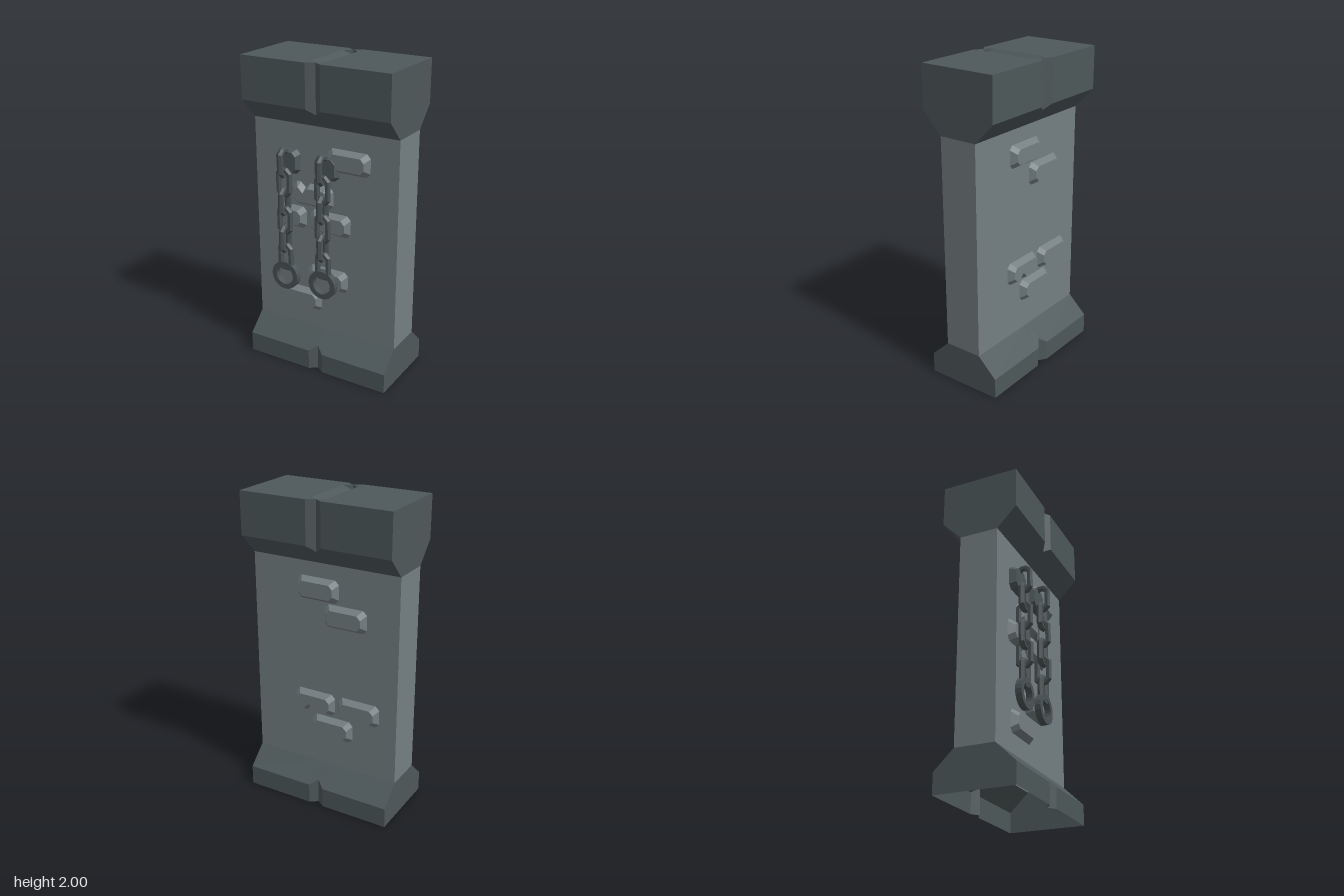
import * as THREE from 'three';

const material = (name, color, side = THREE.FrontSide) => {
  const m = new THREE.MeshStandardMaterial({ color, side, flatShading: true });
  m.name = name;
  return m;
};

// Polygons (convex point lists, counter-clockwise from outside) to a flat geometry
function polygons(list) {
  const pos = [];
  for (const p of list)
    for (let i = 1; i < p.length - 1; i++) pos.push(...p[0], ...p[i], ...p[i + 1]);
  const g = new THREE.BufferGeometry();
  g.setAttribute('position', new THREE.Float32BufferAttribute(pos, 3));
  g.computeVertexNormals();
  return g;
}

// Quads joining two loops of points
const band = (a, b) => a.map((p, i) => {
  const j = (i + 1) % a.length;
  return [p, a[j], b[j], b[i]];
});

// Outline of the pillar at one level; the mid points form the centre groove
function ring(y, d, midY = y, midD = d) {
  const front = [[-0.5, y, d], [-0.05, y, d], [0, midY, midD], [0.05, y, d], [0.5, y, d]];
  return [...front, ...front.map(([x, py, z]) => [-x, py, -z])];
}

// Top face with a V channel running from front to back
function topFaces(r) {
  const y = 2, e = 0.175, v = 0.215, low = 1.965;
  const P = [-0.05, y, e], Q = [-0.05, y, -e], R = [0.05, y, e], S = [0.05, y, -e];
  const V = [0, low, v], W = [0, low, -v];
  return [
    [r[0], r[1], r[8], r[9]], [r[3], r[4], r[5], r[6]],
    [r[1], r[2], P], [r[2], r[3], R], [Q, r[7], r[8]], [r[7], S, r[6]],
    [P, V, W, Q], [V, R, S, W],
    [P, r[2], V], [r[2], R, V], [Q, W, r[7]], [S, r[7], W],
  ];
}

// Raised block with sloped rim and clipped corners; notch = [x, side] chips an edge
function blockGeometry(w, h, depth, bevel, notch) {
  const loop = (inset, z, cut) => {
    const a = w / 2 - inset, b = h / 2 - inset, c = 0.025;
    const edge = s => notch && notch[1] === s
      ? [-1, 0, 1].map(k => [notch[0] - s * k * 0.035, s * (b - (k ? 0 : cut)), z]) : [];
    return [
      [-a, c - b, z], [c - a, -b, z], ...edge(-1), [a - c, -b, z], [a, c - b, z],
      [a, b - c, z], [a - c, b, z], ...edge(1), [c - a, b, z], [-a, b - c, z],
    ];
  };
  const outer = loop(0, 0, 0.03), inner = loop(bevel, depth, 0.035);
  const face = new THREE.ShapeGeometry(
    new THREE.Shape(inner.map(([x, y]) => new THREE.Vector2(x, y))));
  const fp = face.getAttribute('position'), idx = face.index.array, tris = [];
  for (let i = 0; i < idx.length; i += 3)
    tris.push([0, 1, 2].map(k => [fp.getX(idx[i + k]), fp.getY(idx[i + k]), depth]));
  return polygons([...band(outer, inner), ...tris]);
}

// Stretched chain link with octagonal outline
function linkGeometry() {
  const g = new THREE.TorusGeometry(0.041, 0.02, 6, 8).rotateZ(Math.PI / 8);
  const p = g.getAttribute('position');
  for (let i = 0; i < p.count; i++) p.setY(i, p.getY(i) + Math.sign(p.getY(i)) * 0.04);
  return g;
}

export function createModel() {
  const root = new THREE.Group();
  root.name = 'chainedPillar';
  const trim = material('dark stone', 0x4e585a, THREE.DoubleSide);
  const wall = material('grey stone', 0x747f82, THREE.DoubleSide);
  const iron = material('iron', 0x4a5355);

  const add = (parent, name, geometry, mat, x = 0, y = 0, z = 0) => {
    const m = new THREE.Mesh(geometry, mat);
    m.name = name;
    m.position.set(x, y, z);
    parent.add(m);
    return m;
  };

  // Hollow shell, open underneath
  const r = [
    ring(0, 0.25, 0, 0.215), ring(0.13, 0.25, 0.165, 0.215), ring(0.25, 0.125),
    ring(1.6, 0.125), ring(1.73, 0.25, 1.695, 0.215), ring(2, 0.25, 2, 0.215),
  ];
  add(root, 'base', polygons([...band(r[0], r[1]), ...band(r[1], r[2])]), trim);
  add(root, 'wall', polygons(band(r[2], r[3])), wall);
  add(root, 'cap', polygons([...band(r[3], r[4]), ...band(r[4], r[5]), ...topFaces(r[5])]), trim);

  // Raised bricks: x, y, width, optional chipped edge
  const W = 0.285, H = 0.145, D = 0.04;
  const frontBricks = [
    [0.172, 1.412, W], [-0.08, 1.16, W, [-0.055, 1]], [-0.24, 0.997, 0.22],
    [0.042, 0.997, W], [0.024, 0.617, W], [-0.165, 0.442, W],
  ];
  for (const [x, y, w, notch] of frontBricks)
    add(root, 'frontBrick', blockGeometry(w, H, D, 0.025, notch), wall, x, y, 0.125);

  const backBricks = [
    [0.045, 1.435], [-0.145, 1.28], [0.07, 0.68, [-0.03, -1]], [-0.24, 0.68], [-0.055, 0.52],
  ];
  for (const [x, y, notch] of backBricks)
    add(root, 'backBrick', blockGeometry(W, H, D, 0.025, notch), wall, x, y, -0.125)
      .rotation.y = Math.PI;

  // Two hanging chains, each with a mounting plate, six links and a shackle ring
  const link = linkGeometry();
  const plate = blockGeometry(0.16, 0.155, 0.045, 0.012);
  const shackle = new THREE.LatheGeometry(
    [[0.062, -0.02], [0.095, -0.02], [0.095, 0.02], [0.062, 0.02], [0.062, -0.02]]
      .map(([x, y]) => new THREE.Vector2(x, y)), 20).rotateX(Math.PI / 2);
  for (const x of [-0.25, 0.025]) {
    const chain = new THREE.Group();
    chain.name = 'chain';
    chain.position.x = x;
    root.add(chain);
    add(chain, 'mountingPlate', plate, trim, 0, 1.357, 0.125);
    for (let i = 0; i < 6; i++)
      add(chain, 'chainLink', link, iron, 0, 1.358 - i * 0.125, 0.19)
        .rotation.y = i % 2 ? 0 : Math.PI / 2;
    add(chain, 'shackleRing', shackle, iron, 0, 0.605, 0.19);
  }
  return root;
}
